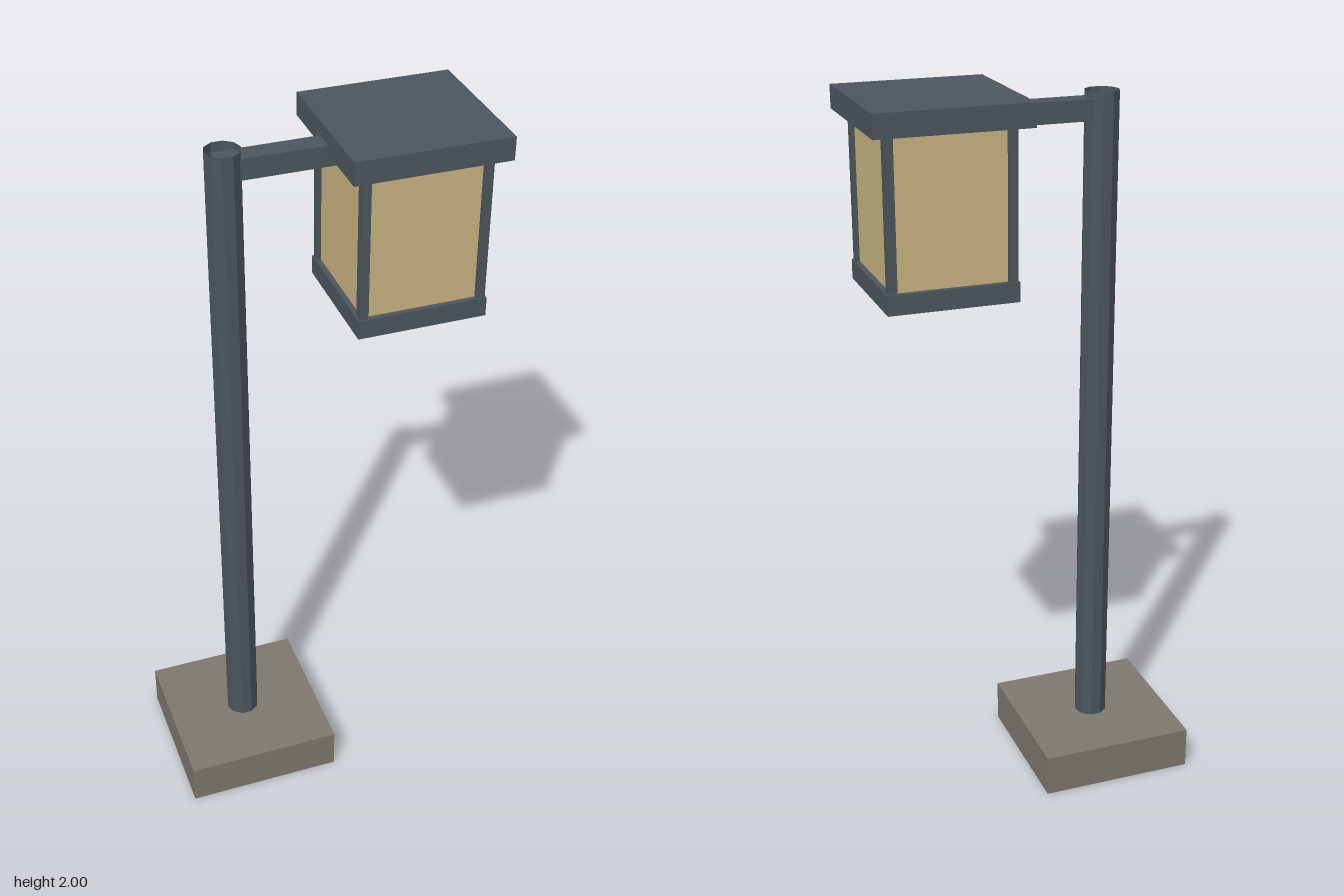
import * as THREE from 'three';

// Post lantern: stone footing, ten-sided pole, side arm and a square lamp head.
export function createModel() {
  const model = new THREE.Group();
  model.name = 'postLantern';

  const make = (name, color) =>
    new THREE.MeshStandardMaterial({ name, color, side: THREE.DoubleSide });
  const metal = make('darkMetal', 0x4d565e);
  const stone = make('stone', 0x7d7970);
  const glass = make('warmGlass', 0xcbb582);

  function add(name, geometry, material, x, y, z, parent = model) {
    const mesh = new THREE.Mesh(geometry, material);
    mesh.name = name;
    mesh.position.set(x, y, z);
    parent.add(mesh);
    return mesh;
  }

  // Box without its underside, a shell open at the bottom
  function openBox(w, h, d) {
    const g = new THREE.BoxGeometry(w, h, d);
    const index = Array.from(g.index.array);
    index.splice(18, 6);
    g.setIndex(index);
    g.clearGroups();
    return g;
  }

  const poleX = -0.227, headX = 0.236;

  // Footing
  add('base', openBox(0.44, 0.12, 0.44), stone, poleX, 0.06, 0);

  // Open tube pole with flat facets
  const poleGeo = new THREE.CylinderGeometry(0.047, 0.047, 1.86, 10, 1, true)
    .rotateY(Math.PI / 2).toNonIndexed();
  poleGeo.computeVertexNormals();
  add('pole', poleGeo, metal, poleX, 1.05, 0);

  // Arm from the pole to the lamp head
  add('arm', new THREE.BoxGeometry(0.335, 0.056, 0.06), metal, -0.0825, 1.934, 0);

  // Lamp head
  const head = new THREE.Group();
  head.name = 'lampHead';
  head.position.x = headX;
  model.add(head);

  add('roof', openBox(0.412, 0.062, 0.412), metal, 0, 1.969, 0, head);
  add('bottomRail', openBox(0.35, 0.053, 0.35), metal, 0, 1.5165, 0, head);
  add('glassBox', new THREE.BoxGeometry(0.32, 0.397, 0.32), glass, 0, 1.7405, 0, head);

  // Corner posts
  for (const sx of [-1, 1]) {
    for (const sz of [-1, 1]) {
      add('cornerPost', new THREE.BoxGeometry(0.024, 0.4, 0.024), metal,
        sx * 0.159, 1.741, sz * 0.159, head);
    }
  }

  return model;
}
